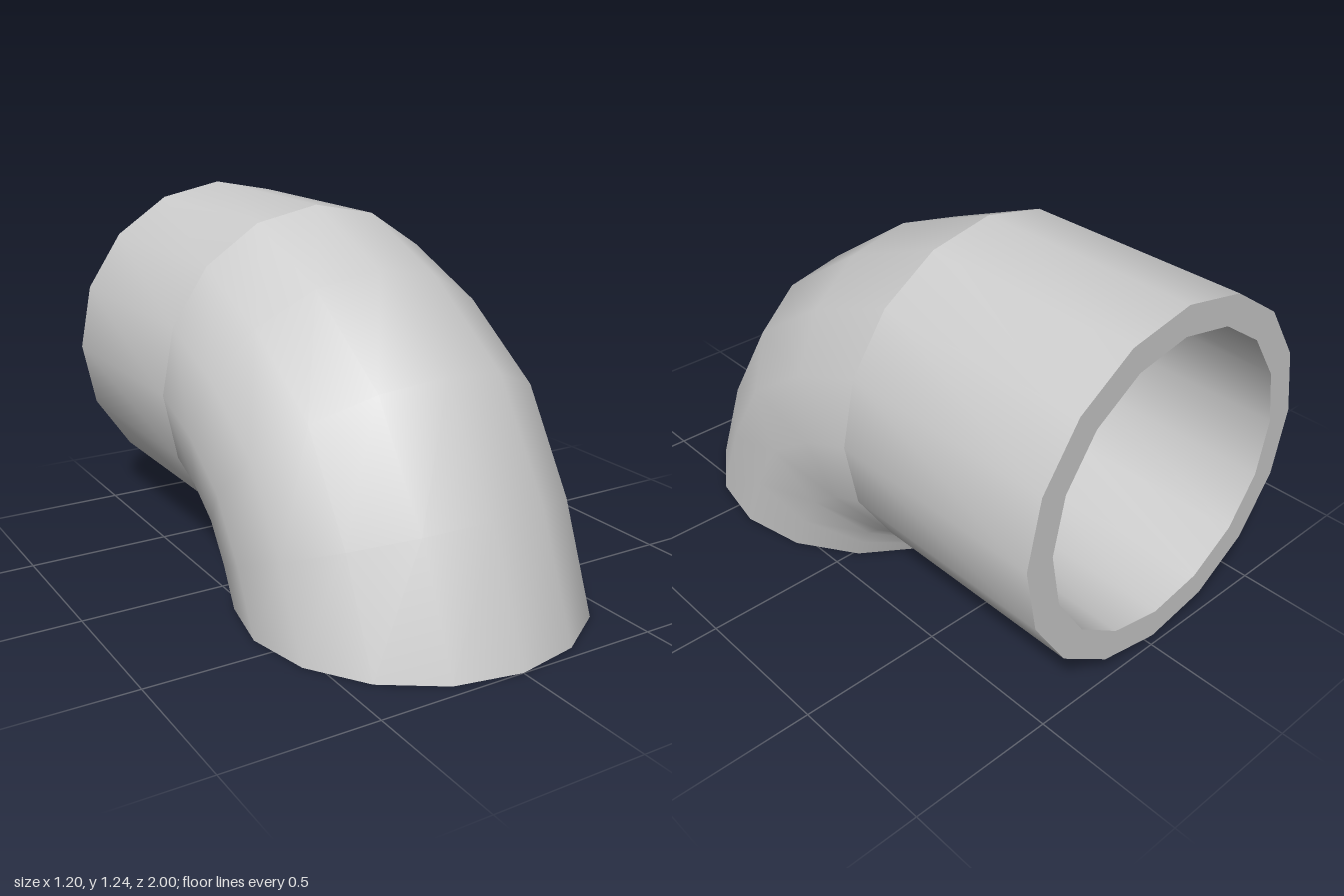
import * as THREE from 'three';

const SIDES = 16;
const BORE = 0.833; // inner radius relative to the outer radius

// Cross-sections from the rear mouth to the lower mouth:
// outer-bend point (z, y), inner-bend point (z, y), half width in x
const SECTIONS = [
  [-1, 1.24, -1, 0.04, 0.6],
  [-0.21, 1.24, -0.21, 0.04, 0.6],
  [0.2, 1.075, -0.205, 0.035, 0.6],
  [0.585, 0.81, -0.2, 0.025, 0.6],
  [0.83, 0.42, -0.195, 0.012, 0.595],
  [1, 0, -0.19, 0, 0.588],
];

// One closed loop of points around a cross-section
function loop([oz, oy, iz, iy, rx], scale) {
  const points = [];
  for (let i = 0; i < SIDES; i++) {
    const a = (i / SIDES) * Math.PI * 2;
    const c = (Math.cos(a) * scale) / 2;
    points.push(
      Math.sin(a) * rx * scale,
      (oy + iy) / 2 + (oy - iy) * c,
      (oz + iz) / 2 + (oz - iz) * c
    );
  }
  return points;
}

// Smooth skin through a list of loops
function skin(loops) {
  const index = [];
  for (let r = 0; r < loops.length - 1; r++) {
    for (let i = 0; i < SIDES; i++) {
      const j = (i + 1) % SIDES;
      const a = r * SIDES + i, b = r * SIDES + j;
      const c = a + SIDES, d = b + SIDES;
      index.push(a, c, b, b, c, d);
    }
  }
  const g = new THREE.BufferGeometry();
  g.setAttribute('position', new THREE.Float32BufferAttribute(loops.flat(), 3));
  g.setIndex(index);
  g.computeVertexNormals();
  return g;
}

export function createModel() {
  const group = new THREE.Group();
  group.name = 'pipeElbow';
  const material = new THREE.MeshStandardMaterial({ color: 0xcccccc });
  const add = (name, loops) => {
    const mesh = new THREE.Mesh(skin(loops), material);
    mesh.name = name;
    group.add(mesh);
  };

  const outer = SECTIONS.map((s) => loop(s, 1));
  const inner = SECTIONS.map((s) => loop(s, BORE));
  const last = SECTIONS.length - 1;

  // Straight pipe and bend, each with an outer wall and a bore
  add('straightOuterWall', outer.slice(0, 2));
  add('bendOuterWall', outer.slice(1));
  add('straightBore', inner.slice(0, 2).reverse());
  add('bendBore', inner.slice(1).reverse());

  // Flat rims at the two mouths
  add('rearRim', [inner[0], outer[0]]);
  add('lowerRim', [outer[last], inner[last]]);

  return group;
}
